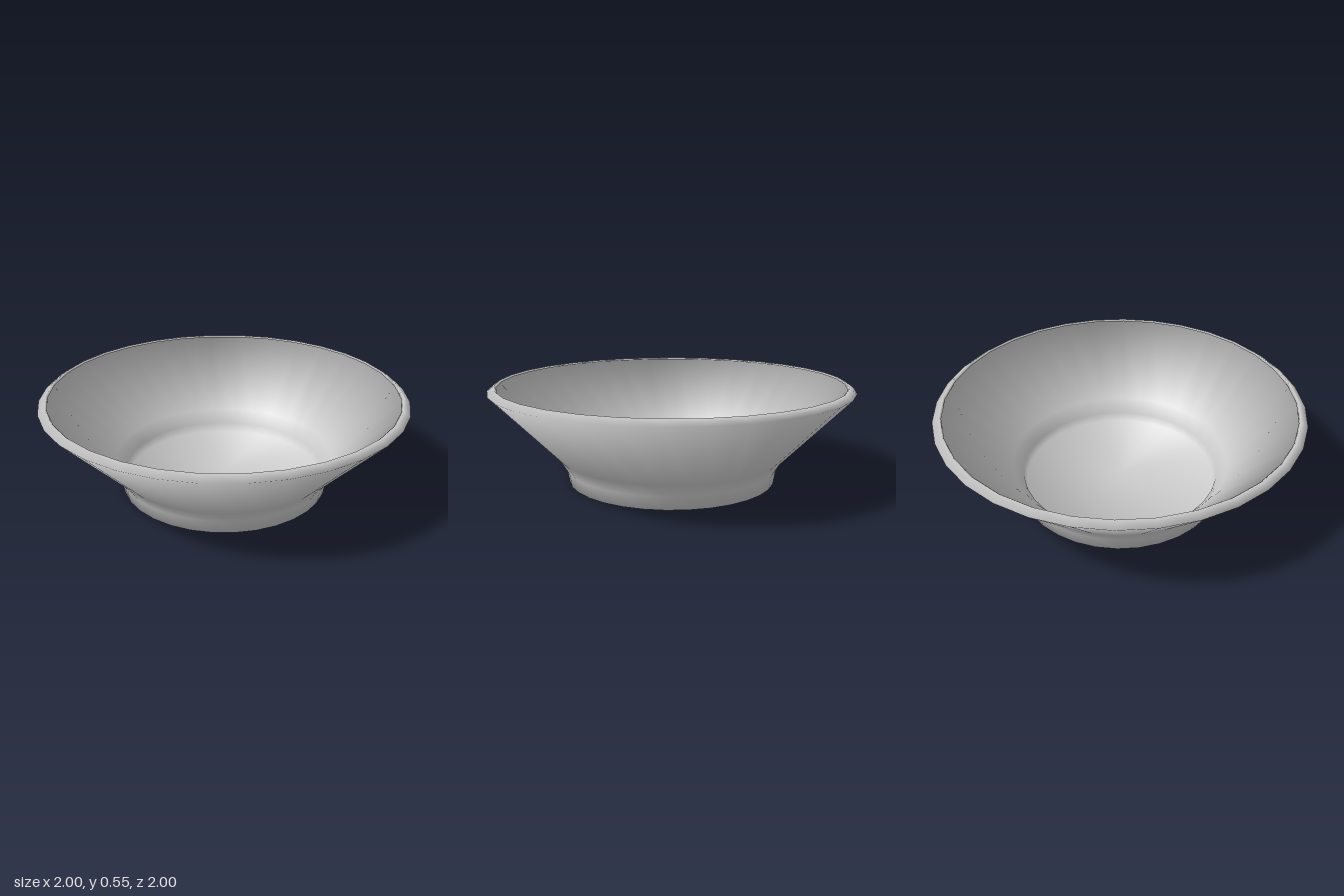
import * as THREE from 'three';

const SEGMENTS = 32;

// Revolve a profile, with smooth normals that weigh both neighbouring bands equally
function revolve(profile) {
  const pts = profile.map(([r, y]) => new THREE.Vector2(r, y));
  const geo = new THREE.LatheGeometry(pts, SEGMENTS);
  const bands = pts.slice(1).map((p, i) =>
    new THREE.Vector2(p.y - pts[i].y, pts[i].x - p.x).normalize());
  const normal = geo.attributes.normal;
  pts.forEach((p, j) => {
    const n = new THREE.Vector2();
    if (j > 0) n.add(bands[j - 1]);
    if (j < bands.length) n.add(bands[j]);
    n.normalize();
    for (let i = 0; i <= SEGMENTS; i++) {
      const a = (i / SEGMENTS) * Math.PI * 2;
      normal.setXYZ(i * pts.length + j, n.x * Math.sin(a), n.y, n.x * Math.cos(a));
    }
  });
  return geo;
}

export function createModel() {
  const group = new THREE.Group();
  group.name = 'bowl';

  const ceramic = new THREE.MeshStandardMaterial({ color: 0xcccccc });
  ceramic.name = 'grey ceramic';

  const profile = [
    // underside and foot
    [0, 0], [0.575, 0], [0.588, 0.075],
    // flared outer wall
    [0.63, 0.145], [1.0, 0.522],
    // rolled rim with a small inner lip
    [0.96, 0.55], [0.95, 0.54], [0.968, 0.536],
    // inner wall, step and floor
    [0.605, 0.172], [0.55, 0.1], [0.537, 0.05], [0, 0.05],
  ];
  const bowl = new THREE.Mesh(revolve(profile), ceramic);
  bowl.name = 'bowlBody';
  group.add(bowl);

  return group;
}
